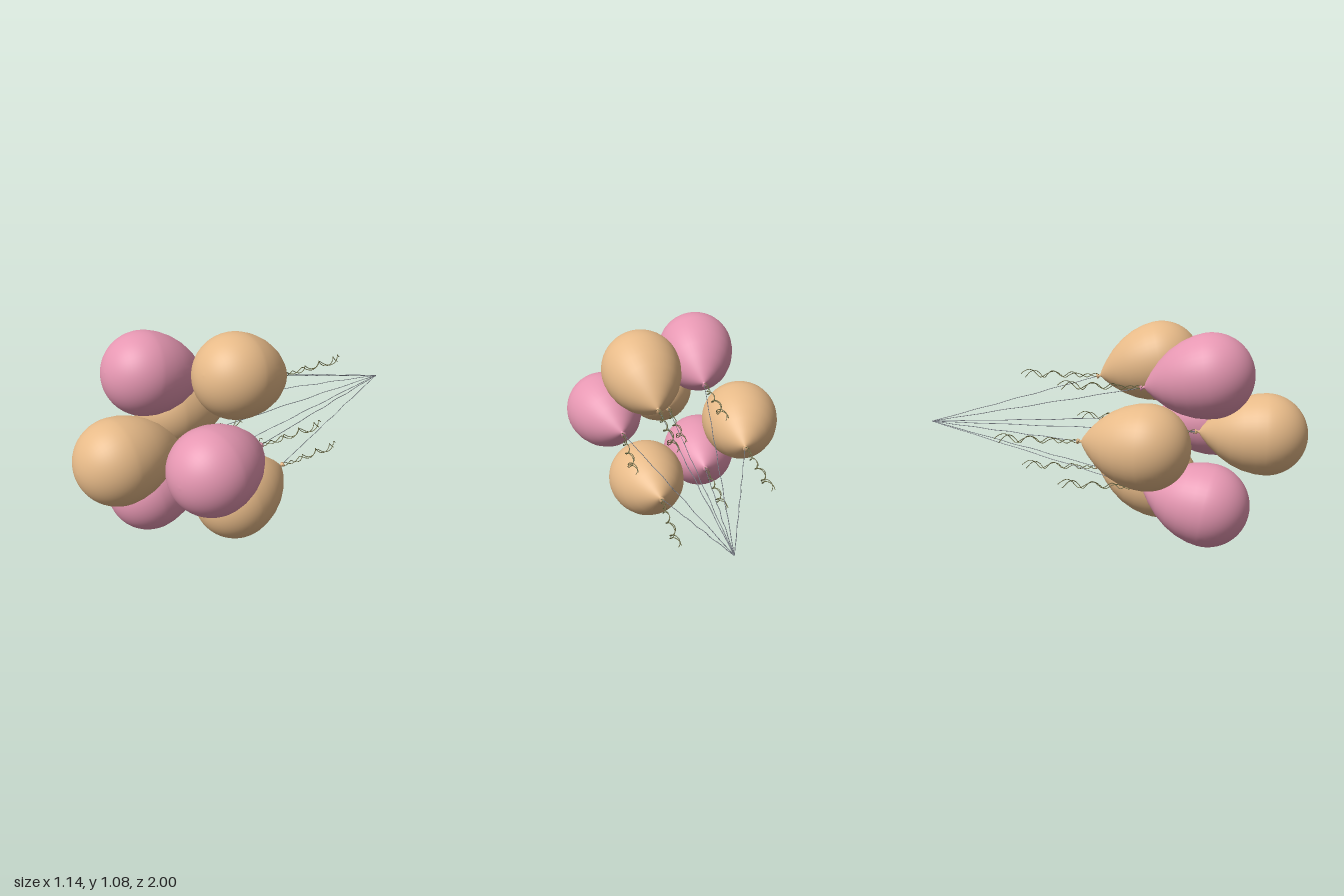
import * as THREE from 'three';

const R = 0.209; // widest balloon radius
const NECK = 0.335; // knot to widest section
const GATHER = new THREE.Vector3(0, 0.535, -1); // where all strings meet

function balloonGeometry() {
  // pointed rear, then a hemisphere at the front; y runs along the balloon
  const rear = [[0.007, 0], [0.028, 0.013], [0.069, 0.047], [0.12, 0.1], [0.161, 0.16],
    [0.189, 0.222], [0.205, 0.285]];
  const points = rear.map(([r, y]) => new THREE.Vector2(r, y - NECK));
  for (let i = 0; i <= 16; i++) {
    const a = (i / 16) * Math.PI / 2;
    points.push(new THREE.Vector2(Math.cos(a) * R, Math.sin(a) * R));
  }
  points[points.length - 1].x = 0;
  return new THREE.LatheGeometry(points, 48);
}

function knotGeometry() {
  const profile = [[0, -0.022], [0.014, -0.022], [0.012, -0.016], [0.006, -0.008], [0.008, 0], [0.012, 0.004]];
  return new THREE.LatheGeometry(profile.map(([r, y]) => new THREE.Vector2(r, y - NECK)), 16);
}

// curled ribbon hanging behind the knot: a loose helix that opens toward its end
function curlGeometry(phase, length, turns) {
  const points = [];
  for (let i = 0; i <= 60; i++) {
    const t = i / 60;
    const r = 0.007 + 0.015 * t + 0.003 * Math.sin(t * 17 + phase);
    const a = phase + turns * 2 * Math.PI * Math.pow(t, 0.85);
    points.push(new THREE.Vector3(Math.cos(a) * r, Math.sin(a) * r, -0.01 - length * t));
  }
  return new THREE.TubeGeometry(new THREE.CatmullRomCurve3(points), 120, 0.002, 5);
}

// nearly straight string from a knot to the gathering point
function stringGeometry(from, phase) {
  const points = [];
  for (let i = 0; i <= 24; i++) {
    const t = i / 24;
    const w = 0.002 * Math.sin(Math.PI * t);
    const p = from.clone().lerp(GATHER, t);
    p.x += w * Math.sin(t * 34 + phase);
    p.y += w * Math.cos(t * 27 + phase);
    points.push(p);
  }
  return new THREE.TubeGeometry(new THREE.CatmullRomCurve3(points), 72, 0.0018, 5);
}

export function createModel() {
  const model = new THREE.Group();
  model.name = 'balloonBunch';
  const make = (name, color) => {
    const m = new THREE.MeshStandardMaterial({ color });
    m.name = name;
    return m;
  };
  const tan = make('tan', 0xe8bb89);
  const pink = make('pink', 0xe697b2);
  const stringGrey = make('stringGrey', 0x7a7f88);
  const ribbonOlive = make('ribbonOlive', 0x6b6b45);

  const body = balloonGeometry();
  const knot = knotGeometry();
  const curls = [curlGeometry(0, 0.43, 3.5), curlGeometry(2.4, 0.41, 4.3)];

  // colour, centre of the widest section, knot x and y
  const balloons = [
    [tan, [0.004, 0.535, 0.791], [0, 0.535]],
    [pink, [-0.173, 0.855, 0.517], [-0.15, 0.785]],
    [pink, [0.362, 0.535, 0.52], [0.3, 0.535]],
    [pink, [-0.196, 0.209, 0.515], [-0.16, 0.27]],
    [tan, [0.182, 0.875, 0.235], [0.15, 0.79]],
    [tan, [-0.365, 0.535, 0.232], [-0.305, 0.535]],
    [tan, [0.17, 0.219, 0.235], [0.145, 0.275]],
  ];

  balloons.forEach(([material, centre, [kx, ky]], i) => {
    const unit = new THREE.Group();
    unit.name = 'balloon' + (i + 1);
    const c = new THREE.Vector3(...centre);
    const dx = c.x - kx, dy = c.y - ky;
    const axis = new THREE.Vector3(dx, dy, Math.sqrt(NECK * NECK - dx * dx - dy * dy)).normalize();
    const tip = c.clone().addScaledVector(axis, -NECK);
    const add = (name, geometry, mat) => {
      const mesh = new THREE.Mesh(geometry, mat);
      mesh.name = name;
      unit.add(mesh);
      return mesh;
    };
    [['body', body], ['knot', knot]].forEach(([name, geometry]) => {
      const mesh = add(name, geometry, material);
      mesh.position.copy(c);
      mesh.quaternion.setFromUnitVectors(new THREE.Vector3(0, 1, 0), axis);
    });
    curls.forEach((geometry) => add('curledRibbon', geometry, ribbonOlive).position.copy(tip));
    add('string', stringGeometry(tip, i * 1.3), stringGrey);
    model.add(unit);
  });
  return model;
}
